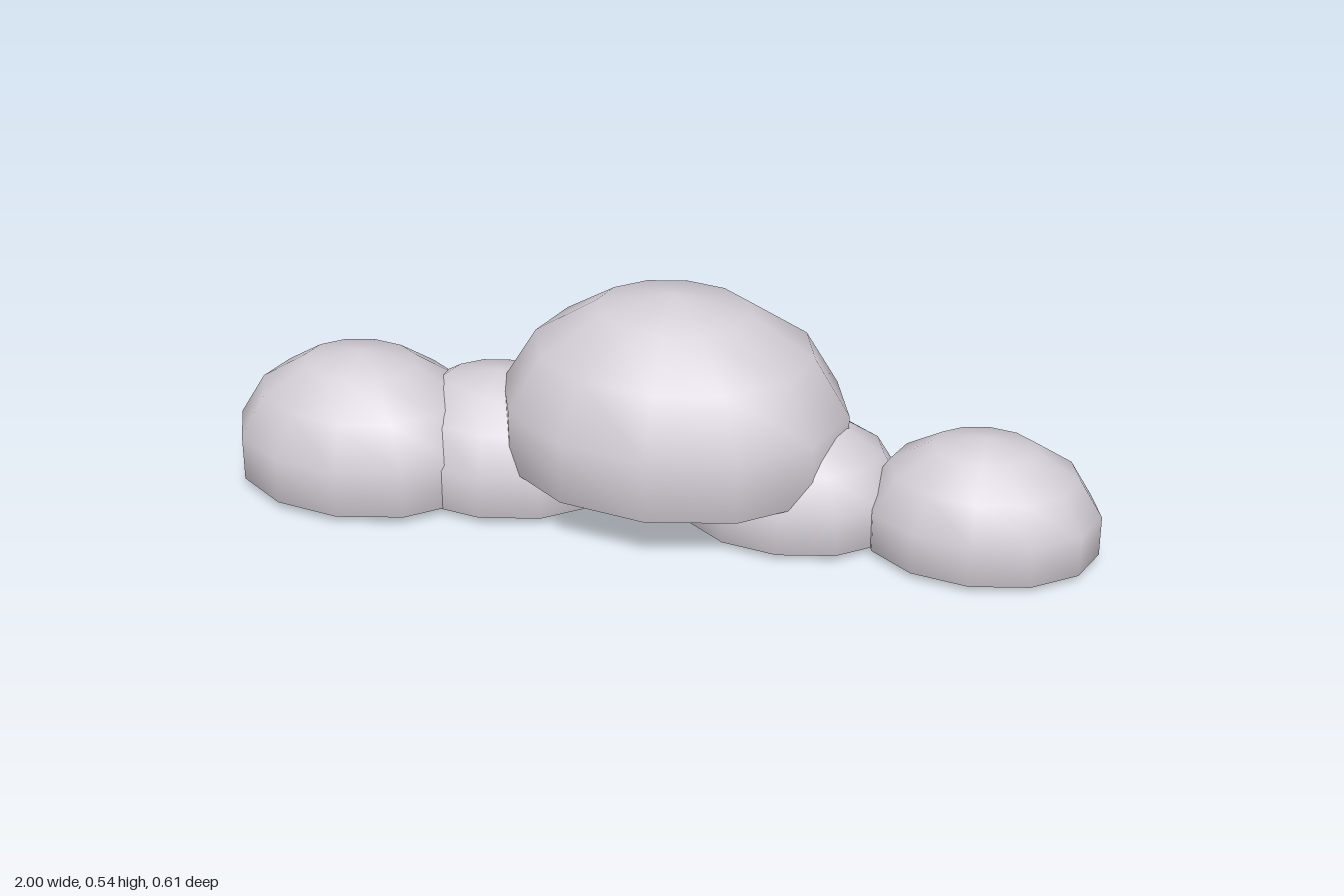
import * as THREE from 'three';
import { mergeVertices } from 'three/addons/utils/BufferGeometryUtils.js';

// A low-poly ellipsoid whose underside is pressed flat at floorY
function puffGeometry(radii, centre, floorY) {
  const geo = new THREE.SphereGeometry(1, 12, 7);
  geo.deleteAttribute('uv');
  geo.deleteAttribute('normal');
  geo.scale(...radii);
  geo.translate(...centre);
  const pos = geo.attributes.position;
  for (let i = 0; i < pos.count; i++) pos.setY(i, Math.max(pos.getY(i), floorY));
  // Weld the seam so the smooth normals run all the way round
  const welded = mergeVertices(geo, 1e-4);
  welded.computeVertexNormals();
  return welded;
}

export function createModel() {
  const group = new THREE.Group();
  group.name = 'cloud';
  const cloudGrey = new THREE.MeshStandardMaterial({ color: 0xd3ced6 });
  cloudGrey.name = 'cloudGrey';

  // name, radii, centre, height of the flat underside
  const puffs = [
    ['mainPuff', [0.41, 0.334, 0.313], [0.025, 0.203, -0.002], 0.098],
    ['innerRightPuff', [0.282, 0.225, 0.208], [-0.385, 0.07, -0.008], 0],
    ['outerRightPuff', [0.308, 0.252, 0.236], [-0.7, 0.078, 0.035], 0],
    ['innerLeftPuff', [0.264, 0.21, 0.195], [0.302, 0.065, 0.008], 0],
    ['outerLeftPuff', [0.272, 0.217, 0.2], [0.735, 0.066, 0.036], 0],
  ];
  for (const [name, radii, centre, floorY] of puffs) {
    const mesh = new THREE.Mesh(puffGeometry(radii, centre, floorY), cloudGrey);
    mesh.name = name;
    group.add(mesh);
  }
  return group;
}
